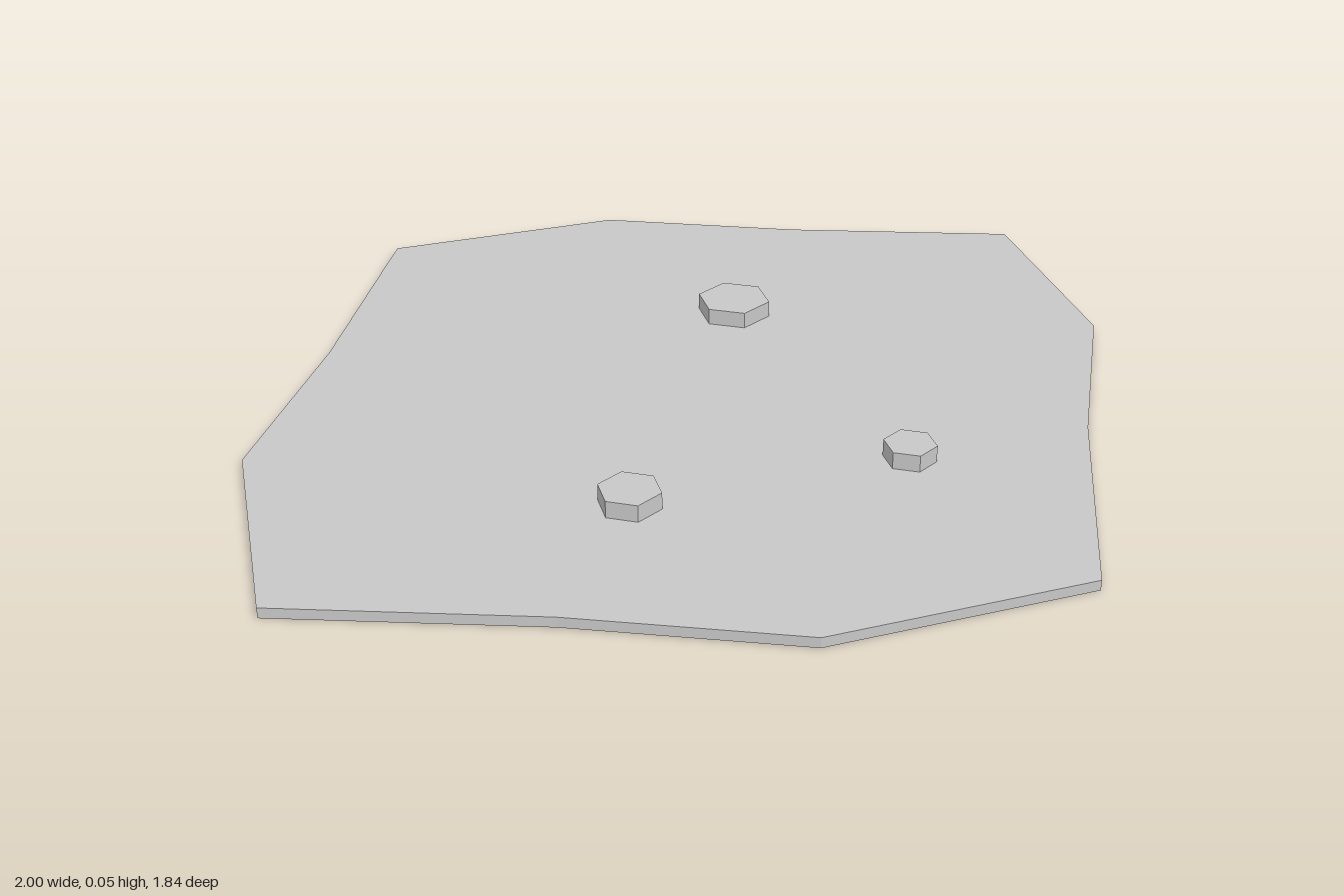
import * as THREE from 'three';

const THICK = 0.02;
const TOP = 0.053;

export function createModel() {
  const group = new THREE.Group();
  const stone = new THREE.MeshStandardMaterial({ color: 0xc8c8c8 });
  stone.name = 'light grey stone';

  // Irregular slab: half of the outline, the rest is the same turned half round
  const half = [[1, 0], [0.685, 0.36], [0.435, 0.695], [0, 0.92], [-0.4, 0.625], [-0.757, 0.4]];
  const outline = [...half, ...half.map(([x, y]) => [-x, -y])];
  const shape = new THREE.Shape(outline.map(([x, y]) => new THREE.Vector2(x, y)));
  const slabGeometry = new THREE.ExtrudeGeometry(shape, { depth: THICK, bevelEnabled: false });
  slabGeometry.rotateX(-Math.PI / 2);
  const slab = new THREE.Mesh(slabGeometry, stone);
  slab.name = 'slab';
  group.add(slab);

  // Hexagonal studs with corners towards the sides: x, z, radius
  const studs = [[0.29, -0.17, 0.074], [-0.375, 0.207, 0.058], [0.083, 0.457, 0.049]];
  studs.forEach(([x, z, r], i) => {
    const height = TOP - THICK;
    const geometry = new THREE.CylinderGeometry(r, r, height, 6, 1, false, Math.PI / 2).toNonIndexed();
    geometry.computeVertexNormals(); // flat facets
    const stud = new THREE.Mesh(geometry, stone);
    stud.name = `stud${i + 1}`;
    stud.position.set(x, THICK + height / 2, z);
    group.add(stud);
  });

  return group;
}
